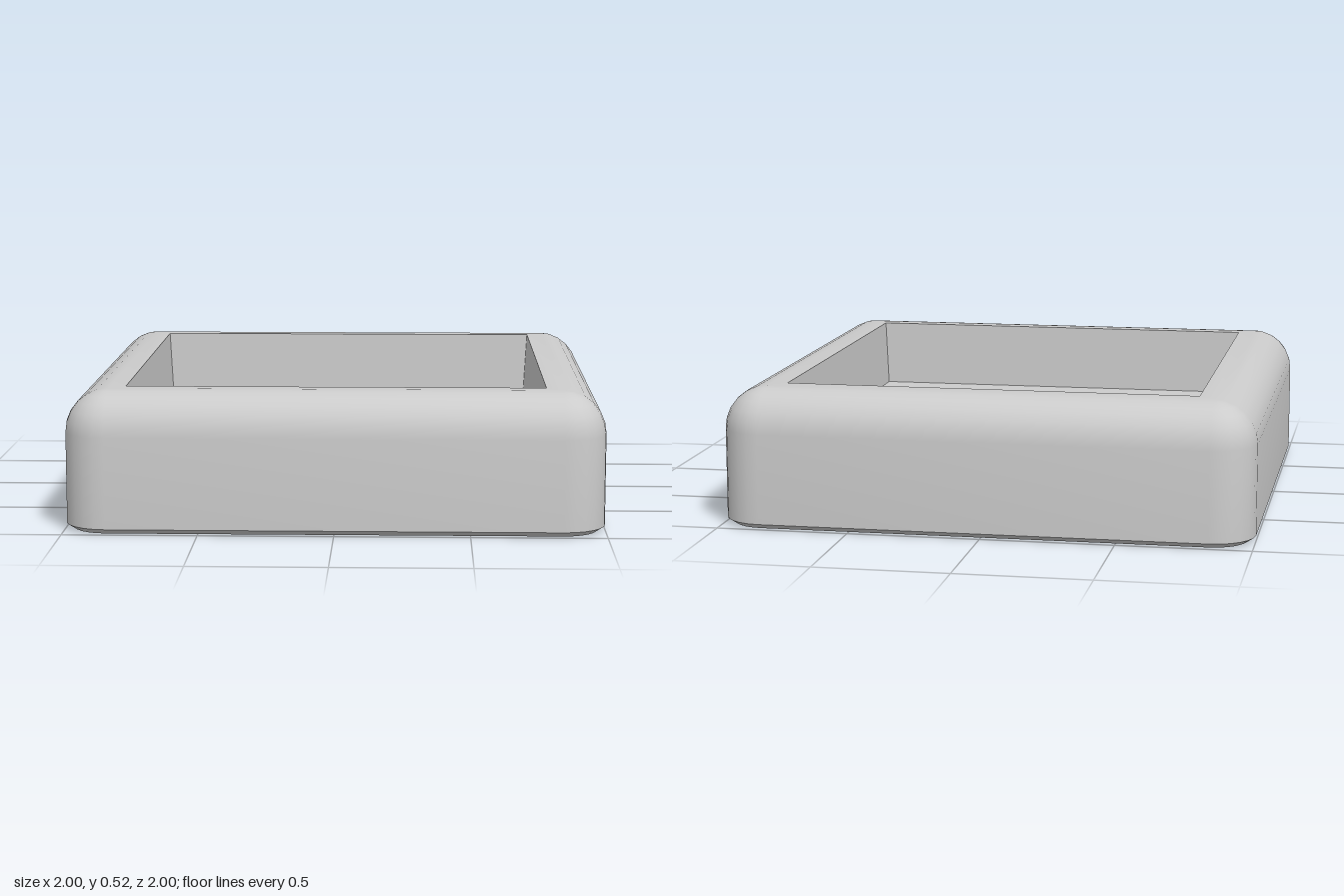
import * as THREE from 'three';
import { toCreasedNormals } from 'three/addons/utils/BufferGeometryUtils.js';

const RADIUS = 0.16; // rounding of the upright corners and of the top edge
const HEIGHT = 0.52;
const FLOOR_Y = 0.26;
const STEPS = 6; // segments per quarter round

// Rounded square ring, inset from the 2 x 2 footprint; sharp once the inset passes the radius
function ring(inset, y) {
  const r = Math.max(RADIUS - inset, 0);
  const c = 1 - inset - r;
  const points = [];
  for (let q = 0; q < 4; q++) {
    const mid = (q + 0.5) * Math.PI / 2;
    const cx = c * Math.sign(Math.cos(mid));
    const cz = c * Math.sign(Math.sin(mid));
    for (let i = 0; i <= STEPS; i++) {
      const a = (q + i / STEPS) * Math.PI / 2;
      points.push([cx + r * Math.cos(a), y, cz + r * Math.sin(a)]);
    }
  }
  return points;
}

// Skin a list of [inset, y] profile points with quads between neighbouring rings
function loft(profile, crease) {
  const rings = profile.map(([inset, y]) => ring(inset, y));
  const n = rings[0].length;
  const index = [];
  for (let k = 0; k < rings.length - 1; k++) {
    for (let i = 0; i < n; i++) {
      const j = (i + 1) % n;
      const a = k * n + i, a1 = k * n + j, b = a + n, b1 = a1 + n;
      index.push(a, b, a1, a1, b, b1);
    }
  }
  const geometry = new THREE.BufferGeometry();
  geometry.setAttribute('position', new THREE.Float32BufferAttribute(rings.flat(2), 3));
  geometry.setIndex(index);
  return toCreasedNormals(geometry, crease);
}

export function createModel() {
  const group = new THREE.Group();
  group.name = 'tray';
  const material = new THREE.MeshStandardMaterial({ color: 0xcccccc, side: THREE.DoubleSide });
  const add = (name, geometry) => {
    const mesh = new THREE.Mesh(geometry, material);
    mesh.name = name;
    group.add(mesh);
    return mesh;
  };

  // Hollow outer shell: bevelled foot, upright wall, rounded shoulder, flat rim
  const shell = [[0.03, 0], [0, 0.02]];
  for (let i = 0; i <= STEPS; i++) {
    const a = (i / STEPS) * Math.PI / 2;
    shell.push([RADIUS * (1 - Math.cos(a)), HEIGHT - RADIUS * (1 - Math.sin(a))]);
  }
  shell.push([0.22, HEIGHT]);
  add('outerShell', loft(shell, Math.PI / 6));

  // Slightly tapered walls of the square recess
  add('recessWalls', loft([[0.22, HEIGHT], [0.235, FLOOR_Y]], Math.PI / 6));

  // Floor of the recess, open to the hollow underneath
  const floor = add('recessFloor', new THREE.PlaneGeometry(1.53, 1.53).rotateX(-Math.PI / 2));
  floor.position.y = FLOOR_Y;

  return group;
}
